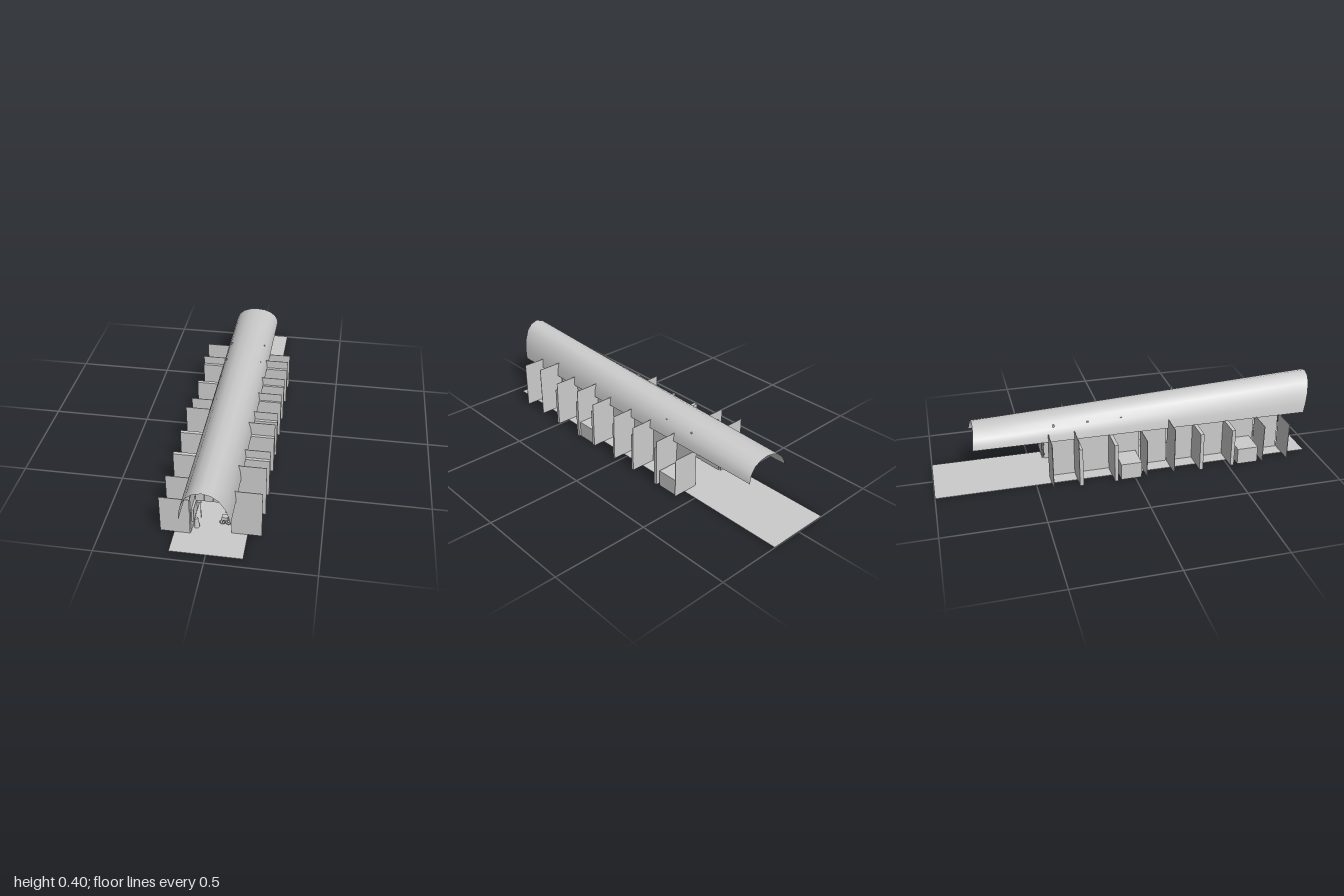
import * as THREE from 'three';

const grey = new THREE.MeshStandardMaterial({ color: 0xcccccc, side: THREE.DoubleSide });

function add(parent, name, geometry, x = 0, y = 0, z = 0) {
  const mesh = new THREE.Mesh(geometry, grey);
  mesh.name = name;
  mesh.position.set(x, y, z);
  parent.add(mesh);
  return mesh;
}

// box given by its limits along each axis
function block(parent, name, [x0, x1], [y0, y1], [z0, z1]) {
  return add(parent, name, new THREE.BoxGeometry(Math.abs(x1 - x0), y1 - y0, Math.abs(z1 - z0)),
    (x0 + x1) / 2, (y0 + y1) / 2, (z0 + z1) / 2);
}

// straight round rod between two points
function rod(parent, name, a, b, r) {
  const path = new THREE.LineCurve3(new THREE.Vector3(...a), new THREE.Vector3(...b));
  return add(parent, name, new THREE.TubeGeometry(path, 1, r, 6));
}

// vaulted canopy, lower towards the back
function roofGeometry() {
  const half = [[1, 0], [0.96, 0.26], [0.85, 0.53], [0.63, 0.79], [0.35, 0.94]];
  const arch = [...half, [0, 1], ...half.map(([x, h]) => [-x, h]).reverse()];
  const steps = 20, n = arch.length, pos = [], index = [];
  const mix = THREE.MathUtils.lerp;
  for (let i = 0; i <= steps; i++) {
    const t = i / steps;
    const w = mix(0.113, 0.122, t), base = mix(0.2, 0.215, t), top = mix(0.397, 0.305, t);
    for (const [x, h] of arch) {
      pos.push(x * w, mix(base, top, h), mix(0.96 + 0.04 * h, -0.797 + 0.014 * h, t));
    }
  }
  for (let i = 0; i < steps; i++) {
    for (let j = 0; j < n - 1; j++) {
      const a = i * n + j, b = a + n;
      index.push(a, b, a + 1, a + 1, b, b + 1);
    }
  }
  const g = new THREE.BufferGeometry();
  g.setAttribute('position', new THREE.Float32BufferAttribute(pos, 3));
  g.setIndex(index);
  g.computeVertexNormals();
  return g;
}

// small two-wheeled cart
function cart(parent, x, z) {
  const g = new THREE.Group();
  g.name = 'cart';
  for (const dx of [-0.013, 0.013]) {
    add(g, 'wheel', new THREE.TorusGeometry(0.012, 0.002, 6, 16), dx, 0.014, 0);
    add(g, 'hub', new THREE.SphereGeometry(0.003, 8, 6), dx, 0.014, 0);
  }
  block(g, 'tray', [-0.014, 0.014], [0.034, 0.052], [-0.012, 0.012]);
  rod(g, 'cartFrame', [-0.013, 0.014, 0], [0, 0.036, 0], 0.0015);
  rod(g, 'cartFrame', [0.013, 0.014, 0], [0, 0.036, 0], 0.0015);
  g.position.set(x, 0.003, z);
  parent.add(g);
}

export function createModel() {
  const model = new THREE.Group();
  model.name = 'coveredArcade';

  block(model, 'ground', [-0.167, 0.167], [0, 0.003], [-1, 0.953]);
  add(model, 'roof', roofGeometry());

  // cross beams under the roof
  for (let k = 0; k < 8; k++) {
    const z = -0.39 + k * 0.173;
    block(model, 'crossBeam', [-0.096, 0.092], [0.28, 0.29], [z - 0.004, z + 0.004]);
  }

  // hanging sign in three panels
  const sign = new THREE.Group();
  sign.name = 'hangingSign';
  for (let i = 0; i < 3; i++) {
    const x = -0.063 + i * 0.0397;
    block(sign, 'signPanel', [x, x + 0.0385], [0.2, 0.244], [0.816, 0.824]);
  }
  block(sign, 'signRail', [-0.064, 0.056], [0.243, 0.246], [0.814, 0.826]);
  for (const s of [-1, 1]) rod(sign, 'signCable', [s * 0.034 - 0.004, 0.245, 0.82], [s * 0.055, 0.282, 0.82], 0.001);
  model.add(sign);

  // partitions between stalls: [z, height, thickness]
  const leftPartitions = [[0.80, 0.252, 0.003], [0.655, 0.278, 0.003], [0.51, 0.252, 0.018],
    [0.33, 0.278, 0.018], [0.2, 0.252, 0.018], [0.03, 0.252, 0.012], [-0.115, 0.252, 0.014],
    [-0.285, 0.252, 0.018], [-0.425, 0.21, 0.006]];
  const rightPartitions = [[0.83, 0.2, 0.006], [0.69, 0.208, 0.003], [0.52, 0.208, 0.018],
    [0.35, 0.208, 0.018], [0.205, 0.252, 0.003], [0.06, 0.208, 0.003], [-0.1, 0.208, 0.018],
    [-0.28, 0.252, 0.018], [-0.42, 0.252, 0.003]];
  for (const [side, list] of [[1, leftPartitions], [-1, rightPartitions]]) {
    for (const [z, h, d] of list) {
      // thick ones are a low slab backed by a taller thin sheet
      if (d > 0.01) block(model, 'partitionSlab', [side * 0.093, side * 0.23], [0.003, 0.208], [z - d / 2, z + d / 2]);
      block(model, 'partition', [side * 0.093, side * 0.231], [0.003, h], [z - d / 2 - 0.001, z - d / 2 + 0.002]);
    }
    // stall fronts with shallow counters
    for (let i = 0; i < list.length - 1; i++) {
      const z0 = list[i + 1][0] + 0.008, z1 = list[i][0] - 0.008;
      block(model, 'stallFront', [side * 0.09, side * 0.094], [0.003, 0.205], [z0, z1]);
      if (i % 2 === 0) block(model, 'counter', [side * 0.08, side * 0.09], [0.05, 0.12], [z0 + 0.02, z1 - 0.02]);
    }
  }

  // low storage boxes behind the stalls
  for (const [side, z0, z1] of [[1, 0.205, 0.318], [1, -0.42, -0.308], [-1, -0.075, 0.032], [-1, 0.552, 0.662]]) {
    block(model, 'storageBox', [side * 0.094, side * 0.222], [0.002, 0.088], [z0, z1]);
  }

  // notice boards and lamps along the passage
  for (const z of [0.72, 0.27, -0.2]) {
    block(model, 'noticeBoard', [-0.09, -0.06], [0.092, 0.127], [z - 0.002, z + 0.002]);
    block(model, 'noticeBoard', [0.06, 0.09], [0.095, 0.2], [z + 0.05, z + 0.053]);
    rod(model, 'lampPost', [-0.063, 0.003, z], [-0.063, 0.158, z], 0.0015);
    rod(model, 'lampArm', [-0.063, 0.157, z], [-0.026, 0.157, z], 0.0015);
    block(model, 'lampHead', [-0.044, -0.032], [0.144, 0.154], [z - 0.006, z + 0.006]);
    rod(model, 'signPost', [0.067, 0.003, z], [0.067, 0.172, z], 0.0015);
    rod(model, 'signArm', [0.067, 0.17, z], [0.04, 0.17, z], 0.001);
    add(model, 'roundSign', new THREE.CylinderGeometry(0.011, 0.011, 0.003, 20), 0.04, 0.156, z).rotation.x = Math.PI / 2;
    add(model, 'stool', new THREE.CylinderGeometry(0.008, 0.014, 0.05, 10), -0.072, 0.028, z + 0.06);
    cart(model, 0.055, z + 0.03);
  }

  return model;
}
